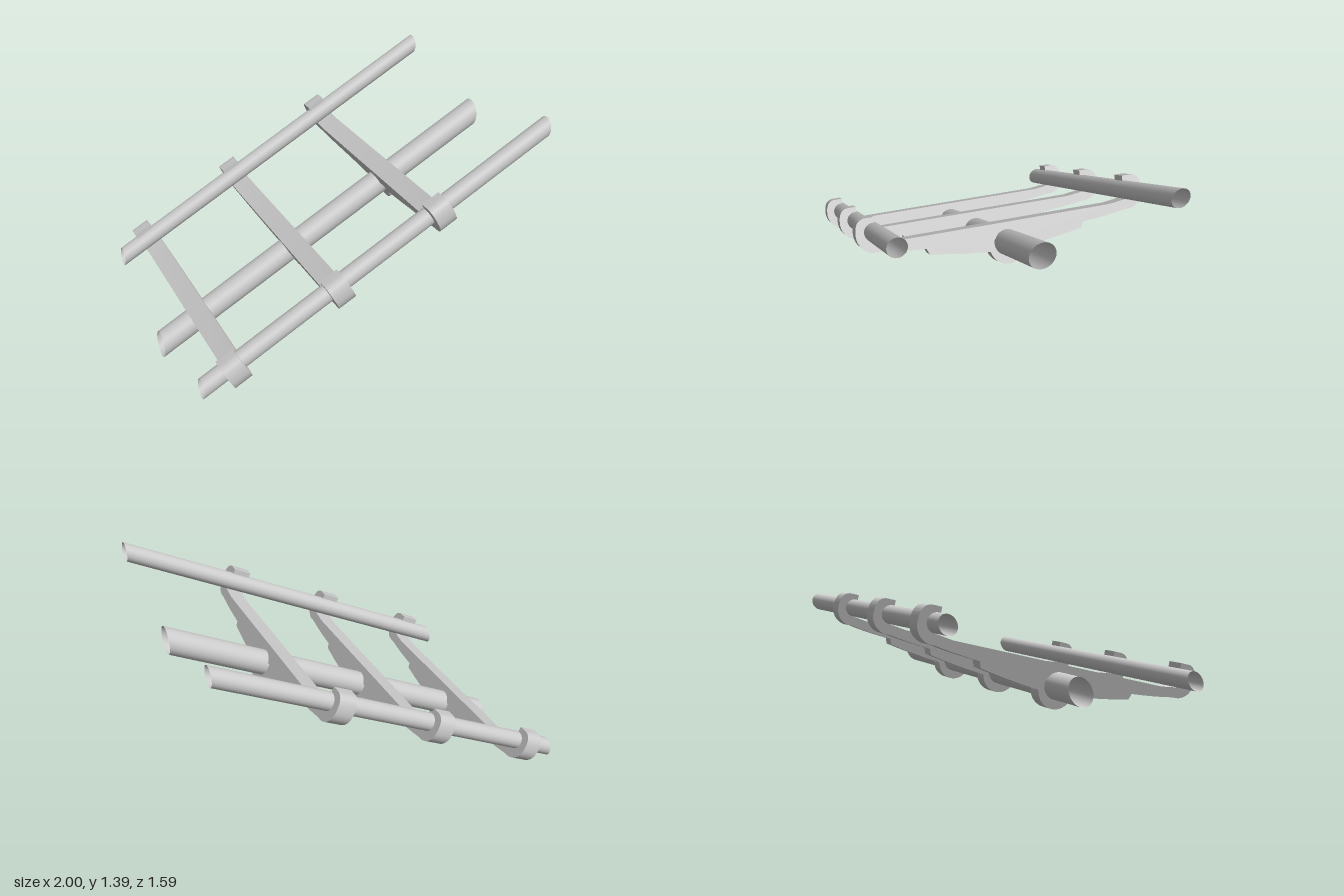
import * as THREE from 'three';
import { toCreasedNormals } from 'three/addons/utils/BufferGeometryUtils.js';

const ANGLE = Math.atan(0.531);
const COS = Math.cos(ANGLE), SIN = Math.sin(ANGLE);
const AXIS = new THREE.Vector3(COS, SIN, 0);    // along the pipes
const NORMAL = new THREE.Vector3(-SIN, COS, 0); // square to the pipes, upwards
const PIPE_V = 0.539, PIPE_R = 0.07;            // main pipe, measured along NORMAL
const RAIL_V = 0.711, RAIL_R = 0.05, RAIL_Z = 0.7;

const material = new THREE.MeshStandardMaterial({ color: 0xcccccc });
const openMaterial = new THREE.MeshStandardMaterial({ color: 0xcccccc, side: THREE.DoubleSide });

// Open sloping pipe whose ends are cut by the vertical planes x = -1 and x = 1
function pipe(name, radius, v, z) {
  const geo = new THREE.CylinderGeometry(radius, radius, 2, 40, 1, true);
  geo.rotateZ(ANGLE - Math.PI / 2);
  geo.translate(NORMAL.x * v, NORMAL.y * v, z);
  const pos = geo.attributes.position;
  for (let i = 0; i < pos.count; i++) {
    const x = pos.getX(i);
    const end = i <= 40 ? 1 : -1;
    pos.setXY(i, end, pos.getY(i) + ((end - x) * SIN) / COS);
  }
  const mesh = new THREE.Mesh(geo, openMaterial);
  mesh.name = name;
  return mesh;
}

// Mirror a half outline that starts and ends on the centre line, then extrude it
function mirroredPlate(name, half, width) {
  const pts = half.getPoints(20);
  const other = pts.slice(1, -1).reverse().map((p) => new THREE.Vector2(-p.x, p.y));
  const geo = new THREE.ExtrudeGeometry(new THREE.Shape([...pts, ...other]), {
    depth: width, bevelEnabled: false,
  });
  geo.translate(0, 0, -width / 2);
  const mesh = new THREE.Mesh(toCreasedNormals(geo, 0.5), material);
  mesh.name = name;
  return mesh;
}

function bracket(u) {
  const notch = Math.asin(0.028 / PIPE_R);

  // Crossbar with a hook around each side rail
  const bar = new THREE.Path();
  bar.moveTo(0, PIPE_V + PIPE_R);
  bar.absarc(0, PIPE_V, PIPE_R, Math.PI / 2, notch, true);
  bar.quadraticCurveTo(0.45, 0.567, 0.68, 0.605);
  bar.absarc(0.7, 0.7, 0.095, -Math.PI / 2, 0, false);
  bar.quadraticCurveTo(0.795, 0.789, 0.735, 0.79);
  bar.lineTo(0.69, 0.79);
  bar.lineTo(0.69, RAIL_V + RAIL_R);
  bar.absarc(RAIL_Z, RAIL_V, RAIL_R, Math.PI / 2, -Math.PI / 2, true);
  bar.lineTo(0.6, 0.648);
  bar.lineTo(0, 0.648);

  // Stiffening rib that widens into a saddle under the main pipe
  const rib = new THREE.Path();
  rib.moveTo(0, PIPE_V - PIPE_R);
  rib.absarc(0, PIPE_V, PIPE_R, -Math.PI / 2, notch, false);
  rib.lineTo(0.44, 0.582);
  rib.lineTo(0.425, 0.546);
  rib.quadraticCurveTo(0.27, 0.517, 0.096, 0.502);
  rib.absarc(0, 0.519, 0.098, -0.18, -Math.PI / 2, true);

  const group = new THREE.Group();
  group.name = 'bracket';
  group.add(mirroredPlate('hookedCrossbar', bar, 0.108), mirroredPlate('ribAndSaddle', rib, 0.087));
  group.quaternion.setFromRotationMatrix(
    new THREE.Matrix4().makeBasis(new THREE.Vector3(0, 0, -1), NORMAL, AXIS));
  group.position.copy(AXIS).multiplyScalar(u);
  return group;
}

export function createModel() {
  const model = new THREE.Group();
  model.name = 'pipeRack';
  model.add(
    pipe('mainPipe', PIPE_R, PIPE_V, 0),
    pipe('leftRail', RAIL_R, RAIL_V, RAIL_Z),
    pipe('rightRail', RAIL_R, RAIL_V, -RAIL_Z),
  );
  for (let i = 0; i < 3; i++) model.add(bracket(-0.56 + i * 0.666));
  return model;
}
